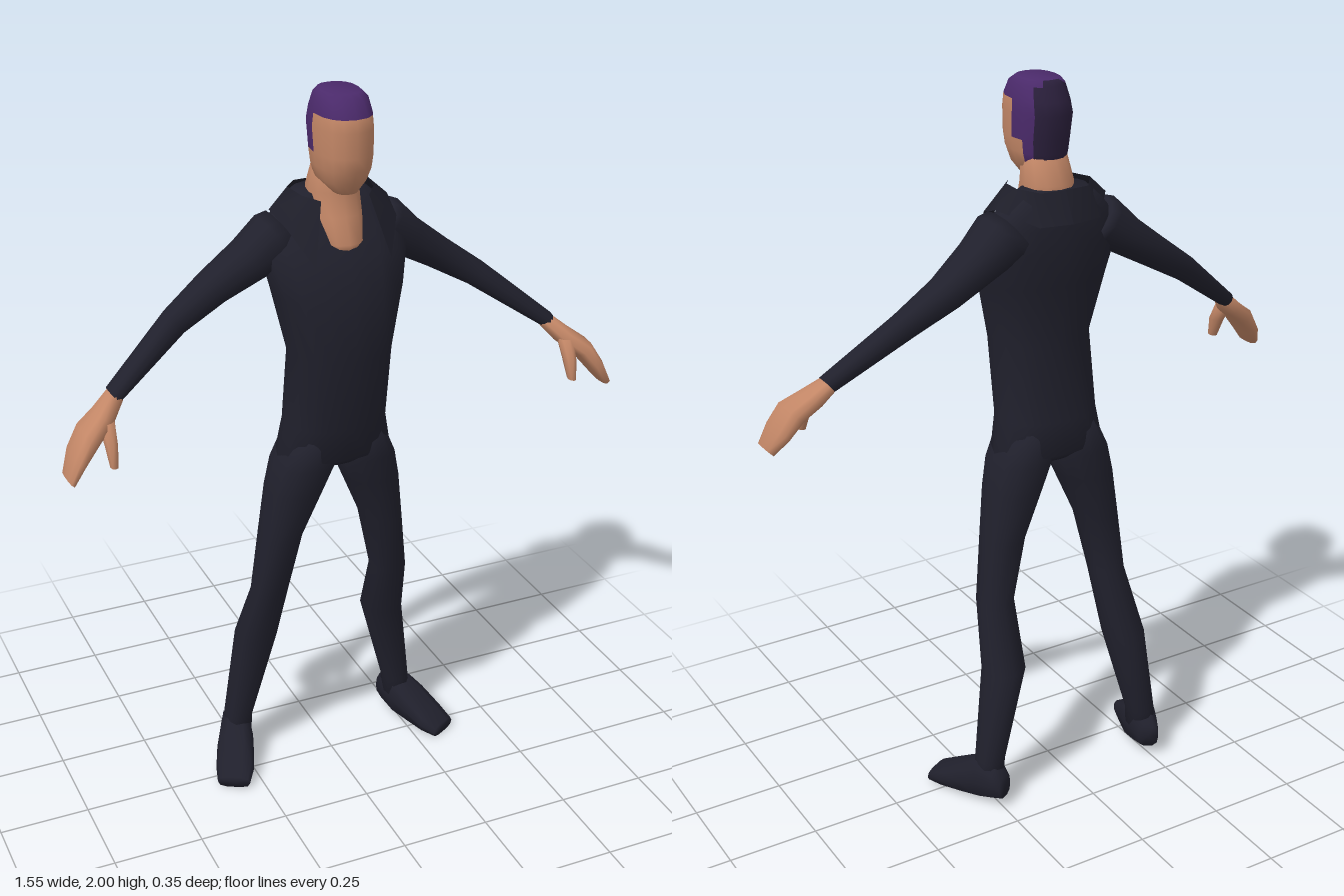
import * as THREE from 'three';

const material = (name, color, side = THREE.FrontSide) => {
  const m = new THREE.MeshStandardMaterial({ color, side });
  m.name = name;
  return m;
};

// Loft through rounded rings; each row is [x, y, z, radiusU, radiusV]
function loft(rows, U, V, n = 12, power = 0.85) {
  const pos = [], index = [];
  const round = t => Math.sign(t) * Math.pow(Math.abs(t), power);
  for (const [x, y, z, a, b] of rows) {
    for (let i = 0; i < n; i++) {
      const t = (i / n) * Math.PI * 2;
      const u = a * round(Math.cos(t)), v = b * round(Math.sin(t));
      pos.push(x + U.x * u + V.x * v, y + U.y * u + V.y * v, z + U.z * u + V.z * v);
    }
  }
  const first = rows[0], last = rows[rows.length - 1];
  const along = new THREE.Vector3(last[0] - first[0], last[1] - first[1], last[2] - first[2]);
  const flip = new THREE.Vector3().crossVectors(U, V).dot(along) < 0;
  const tri = (a, b, c) => (flip ? index.push(a, c, b) : index.push(a, b, c));
  for (let r = 0; r < rows.length - 1; r++) {
    for (let i = 0; i < n; i++) {
      const j = (i + 1) % n, a = r * n + i, b = r * n + j;
      tri(a, b, b + n);
      tri(a, b + n, a + n);
    }
  }
  // end caps
  const end = (rows.length - 1) * n;
  pos.push(...first.slice(0, 3), ...last.slice(0, 3));
  for (let i = 0; i < n; i++) {
    const j = (i + 1) % n;
    tri(end + n, j, i);
    tri(end + n + 1, end + i, end + j);
  }
  const g = new THREE.BufferGeometry();
  g.setAttribute('position', new THREE.Float32BufferAttribute(pos, 3));
  g.setIndex(index);
  g.computeVertexNormals();
  return g;
}

const X = new THREE.Vector3(1, 0, 0), Y = new THREE.Vector3(0, 1, 0), Z = new THREE.Vector3(0, 0, 1);

// Horizontal rings given as [y, centreX, halfWidth, frontZ, backZ]
const stack = (rows, s = 1, n = 12, power = 0.85) =>
  loft(rows.map(([y, x, w, f, b]) => [x * s, y, (f + b) / 2, w, (f - b) / 2]), X, Z, n, power);

// Sort faces into material groups by a rule on their centre
function paint(g, rule, count) {
  const p = g.attributes.position, src = g.index.array;
  const sets = Array.from({ length: count }, () => []);
  for (let i = 0; i < src.length; i += 3) {
    const t = [src[i], src[i + 1], src[i + 2]];
    const mid = get => t.reduce((sum, k) => sum + p[get](k), 0) / 3;
    sets[rule(mid('getX'), mid('getY'), mid('getZ'))].push(...t);
  }
  g.setIndex(sets.flat());
  let start = 0;
  sets.forEach((set, k) => { g.addGroup(start, set.length, k); start += set.length; });
  return g;
}

export function createModel() {
  const model = new THREE.Group();
  model.name = 'figure';
  const suit = material('suit navy', 0x20202c);
  const cloth = material('collar navy', 0x1e1e29, THREE.DoubleSide);
  const skin = material('skin', 0xc28666);
  const hair = material('hair purple', 0x4b2a6b);
  const hairDark = material('hair dark purple', 0x2a1f3b);
  const add = (name, geometry, mat) => {
    const mesh = new THREE.Mesh(geometry, mat);
    mesh.name = name;
    model.add(mesh);
  };

  add('torso', stack([
    [0.975, 0, 0.13, 0.07, -0.06],
    [1.0, 0, 0.163, 0.1, -0.088],
    [1.1, 0, 0.14, 0.122, -0.095],
    [1.31, 0, 0.138, 0.16, -0.065],
    [1.48, 0, 0.175, 0.16, -0.1],
    [1.58, 0, 0.2, 0.12, -0.105],
    [1.64, 0, 0.185, 0.085, -0.105],
    [1.69, 0, 0.14, 0.055, -0.1],
    [1.73, 0, 0.095, 0.03, -0.085],
  ], 1, 16), suit);

  // neck running down into the open neckline
  add('neck', stack([
    [1.59, 0, 0.03, 0.105, 0],
    [1.615, 0, 0.058, 0.118, -0.02],
    [1.68, 0, 0.066, 0.092, -0.06],
    [1.74, 0, 0.065, 0.075, -0.07],
    [1.82, 0, 0.056, 0.07, -0.03],
  ]), skin);

  // head, with hair as face groups: crown, sideburns and nape
  const head = stack([
    [1.748, 0, 0.03, 0.115, 0.04],
    [1.78, 0, 0.06, 0.135, -0.035],
    [1.815, 0, 0.069, 0.152, -0.042],
    [1.85, 0, 0.073, 0.158, -0.047],
    [1.915, 0, 0.075, 0.159, -0.06],
    [1.948, 0, 0.072, 0.154, -0.05],
    [1.985, 0, 0.064, 0.132, -0.032],
    [2.0, 0, 0.05, 0.11, -0.02],
  ], 1, 16);
  add('head', paint(head, (x, y, z) => {
    const hairy = y > 1.95 || (z < 0.053 && y > 1.85) || (z < 0.012 && y > 1.782);
    if (!hairy) return 0;
    return z < -0.017 && Math.abs(x) < 0.055 ? 2 : 1;
  }, 3), [skin, hair, hairDark]);

  // turned-down collar: upper edge and outer edge of one half
  const upper = [[0, 1.735, -0.09], [0.07, 1.735, -0.085], [0.11, 1.74, -0.03], [0.098, 1.735, 0.04], [0.066, 1.73, 0.085]];
  const outer = [[0, 1.655, -0.128], [0.09, 1.655, -0.112], [0.165, 1.69, -0.02], [0.15, 1.66, 0.07], [0.104, 1.575, 0.142]];

  for (const s of [1, -1]) {
    const side = s > 0 ? 'left' : 'right';

    const pos = [], index = [];
    upper.forEach((p, i) => {
      const q = outer[i];
      pos.push(p[0] * s, p[1], p[2], q[0] * s, q[1], q[2]);
      if (i === 0) return;
      const a = 2 * i - 2;
      if (s > 0) index.push(a, a + 2, a + 1, a + 1, a + 2, a + 3);
      else index.push(a, a + 1, a + 2, a + 1, a + 3, a + 2);
    });
    const collar = new THREE.BufferGeometry();
    collar.setAttribute('position', new THREE.Float32BufferAttribute(pos, 3));
    collar.setIndex(index);
    collar.computeVertexNormals();
    add(side + 'Collar', collar, cloth);

    const flip = rows => rows.map(([x, ...rest]) => [x * s, ...rest]);

    // sleeve rings lean with the arm
    add(side + 'Arm', loft(flip([
      [0.12, 1.625, -0.015, 0.07, 0.08],
      [0.15, 1.615, -0.015, 0.072, 0.08],
      [0.22, 1.565, -0.022, 0.056, 0.072],
      [0.32, 1.5, -0.03, 0.045, 0.054],
      [0.43, 1.43, -0.015, 0.036, 0.038],
      [0.62, 1.288, 0.05, 0.022, 0.034],
    ]), new THREE.Vector3(0.61 * s, 0.79, 0), Z), suit);

    // flat hand with fingers together, thumb hanging in front
    add(side + 'Hand', loft(flip([
      [0.612, 1.292, 0.05, 0.02, 0.03],
      [0.655, 1.25, 0.075, 0.026, 0.046],
      [0.702, 1.215, 0.095, 0.027, 0.06],
      [0.738, 1.165, 0.105, 0.021, 0.06],
      [0.767, 1.115, 0.122, 0.012, 0.043],
    ]), new THREE.Vector3(0.74 * s, 0.67, 0), Z, 10, 0.75), skin);
    add(side + 'Thumb', loft(flip([
      [0.656, 1.245, 0.1, 0.022, 0.025],
      [0.655, 1.195, 0.13, 0.017, 0.024],
      [0.656, 1.14, 0.148, 0.01, 0.016],
    ]), X, Z, 8), skin);

    add(side + 'Leg', stack([
      [1.07, 0.07, 0.062, 0.1, -0.08],
      [0.98, 0.087, 0.086, 0.098, -0.09],
      [0.9, 0.112, 0.078, 0.084, -0.086],
      [0.76, 0.151, 0.057, 0.06, -0.078],
      [0.58, 0.182, 0.05, 0.032, -0.07],
      [0.4, 0.198, 0.058, -0.03, -0.15],
      [0.13, 0.253, 0.038, -0.058, -0.15],
      [0.06, 0.258, 0.038, -0.055, -0.15],
    ], s), suit);

    // shoe rings run from heel to toe, toes turned outward
    add(side + 'Shoe', loft(flip([
      [0.243, 0.063, -0.168, 0.03, 0.033],
      [0.25, 0.07, -0.14, 0.04, 0.05],
      [0.268, 0.065, -0.085, 0.05, 0.062],
      [0.288, 0.052, -0.04, 0.054, 0.05],
      [0.315, 0.03, 0.025, 0.055, 0.03],
      [0.335, 0.017, 0.068, 0.047, 0.017],
    ]), new THREE.Vector3(0.87 * s, 0, -0.48), Y, 10, 0.7), suit);
  }
  return model;
}
